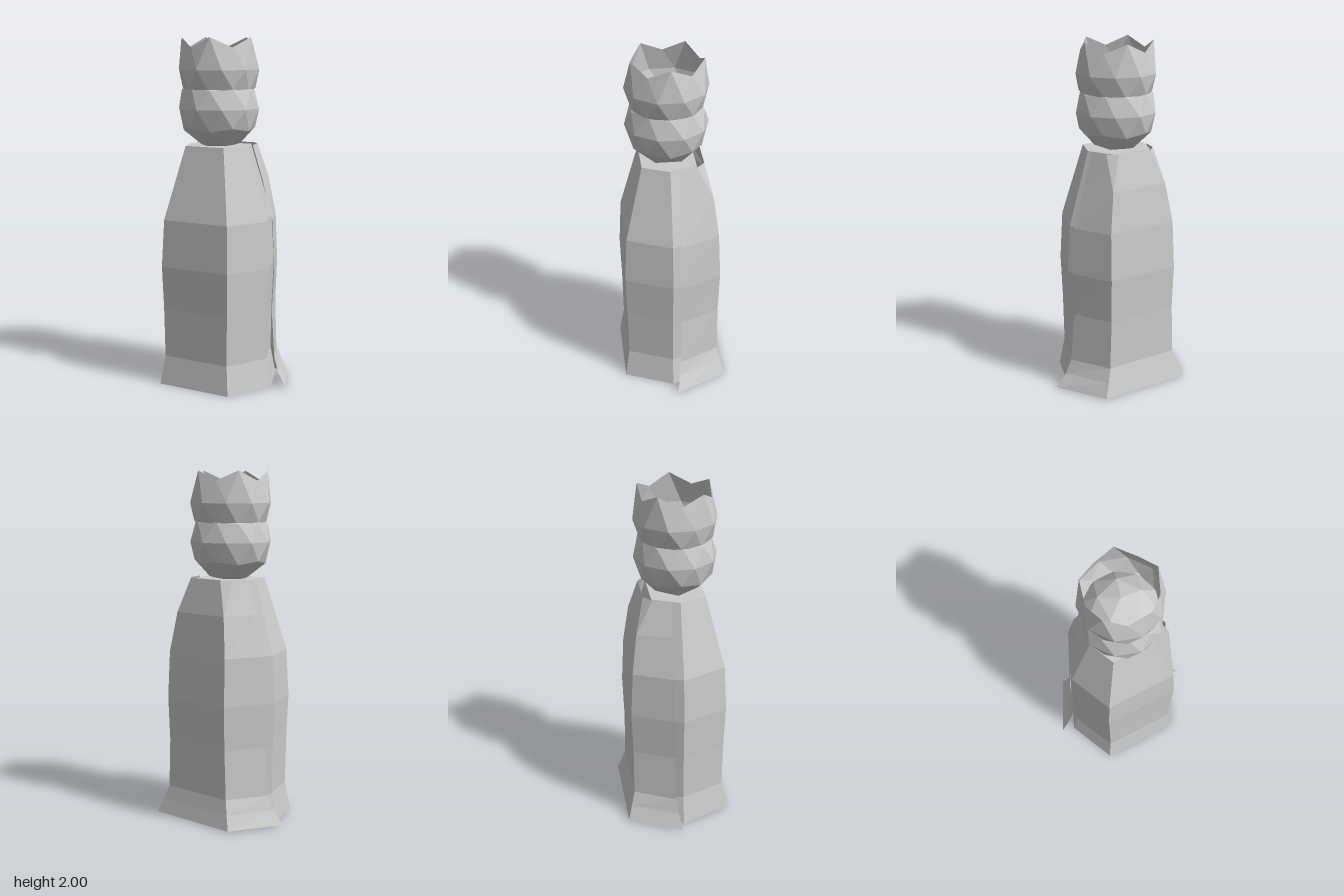
import * as THREE from 'three';

const OX = -0.01, OZ = 0.02; // axis of the body, head and crown
const R = 0.235;             // head radius

function material(side = THREE.FrontSide) {
  return new THREE.MeshStandardMaterial({ color: 0xcccccc, flatShading: true, side });
}

function mesh(name, geometry, side) {
  const m = new THREE.Mesh(geometry, material(side));
  m.name = name;
  return m;
}

function geometryFrom(points) {
  const g = new THREE.BufferGeometry().setFromPoints(points);
  g.computeVertexNormals();
  return g;
}

// Skins stacked cross-sections, bottom to top; closed ones get end caps.
function loft(rings, closed) {
  const tris = [], n = rings[0].length;
  for (let j = 0; j < rings.length - 1; j++) {
    for (let i = 0; i < (closed ? n : n - 1); i++) {
      const k = (i + 1) % n;
      const a = rings[j][i], b = rings[j][k], c = rings[j + 1][k], d = rings[j + 1][i];
      tris.push(a, b, c, a, c, d);
    }
  }
  if (closed) {
    const bottom = rings[0], top = rings[rings.length - 1];
    for (let i = 1; i < n - 1; i++) {
      tris.push(top[0], top[i], top[i + 1], bottom[0], bottom[i + 1], bottom[i]);
    }
  }
  return geometryFrom(tris);
}

// Faceted ball standing on one of its points.
function facetedBall() {
  return new THREE.IcosahedronGeometry(R, 1).rotateZ(-Math.atan(2 / (1 + Math.sqrt(5))));
}

// Open band of the ball, with every other rim point pulled up into a spike.
function crownGeometry() {
  const pos = facetedBall().attributes.position, points = [];
  for (let t = 0; t < pos.count; t += 3) {
    const tri = [0, 1, 2].map(k => new THREE.Vector3().fromBufferAttribute(pos, t + k));
    if (tri.some(p => Math.abs(p.y) > 0.7 * R)) continue;
    for (const p of tri) if (p.y > 0.4 * R && p.y < 0.49 * R) p.y = 0.18;
    points.push(...tri);
  }
  return geometryFrom(points);
}

export function createModel() {
  const group = new THREE.Group();

  // Robe: six-sided column, [height, half width]
  const robe = [[0.005, 0.35], [0.17, 0.318], [0.45, 0.324], [0.7, 0.335], [0.97, 0.32], [1.39, 0.193]];
  const robeRings = robe.map(([y, w]) => {
    const c = w * 0.655, d = w * 0.79;
    return [[-c, d], [c, d], [w, 0], [c, -d], [-c, -d], [-w, 0]]
      .map(([x, z]) => new THREE.Vector3(x + OX, y, z + OZ));
  });
  group.add(mesh('robe', loft(robeRings, true)));

  // Cloak: [height, front edge x, z, side corner x, z, back corner x, z]
  const cloak = [
    [0.01, 0.43, 0.0, 0.28, -0.3, 0.28, -0.3],
    [0.09, 0.372, -0.015, 0.25, -0.277, 0.25, -0.277],
    [0.17, 0.34, -0.025, 0.225, -0.257, 0.225, -0.257],
    [0.45, 0.318, -0.03, 0.215, -0.257, 0.215, -0.257],
    [0.7, 0.33, -0.033, 0.22, -0.266, 0.22, -0.266],
    [0.97, 0.317, -0.033, 0.215, -0.254, 0.215, -0.254],
    [1.2, 0.25, -0.033, 0.18, -0.225, 0.18, -0.225],
    [1.395, 0.187, -0.03, 0.16, -0.13, 0.11, -0.177],
  ];
  const cloakRings = cloak.map(([y, ex, ez, sx, sz, bx, bz]) =>
    [[ex, ez], [sx, sz], [bx, bz], [-bx, bz], [-sx, sz], [-ex, ez]]
      .map(([x, z]) => new THREE.Vector3(x, y, z)));
  group.add(mesh('cloak', loft(cloakRings, false), THREE.DoubleSide));

  // Head and crown
  const head = mesh('head', facetedBall());
  head.position.set(OX, 1.6, OZ);
  const crown = mesh('crown', crownGeometry(), THREE.DoubleSide);
  crown.position.set(OX, 1.82, OZ);
  group.add(head, crown);

  return group;
}
